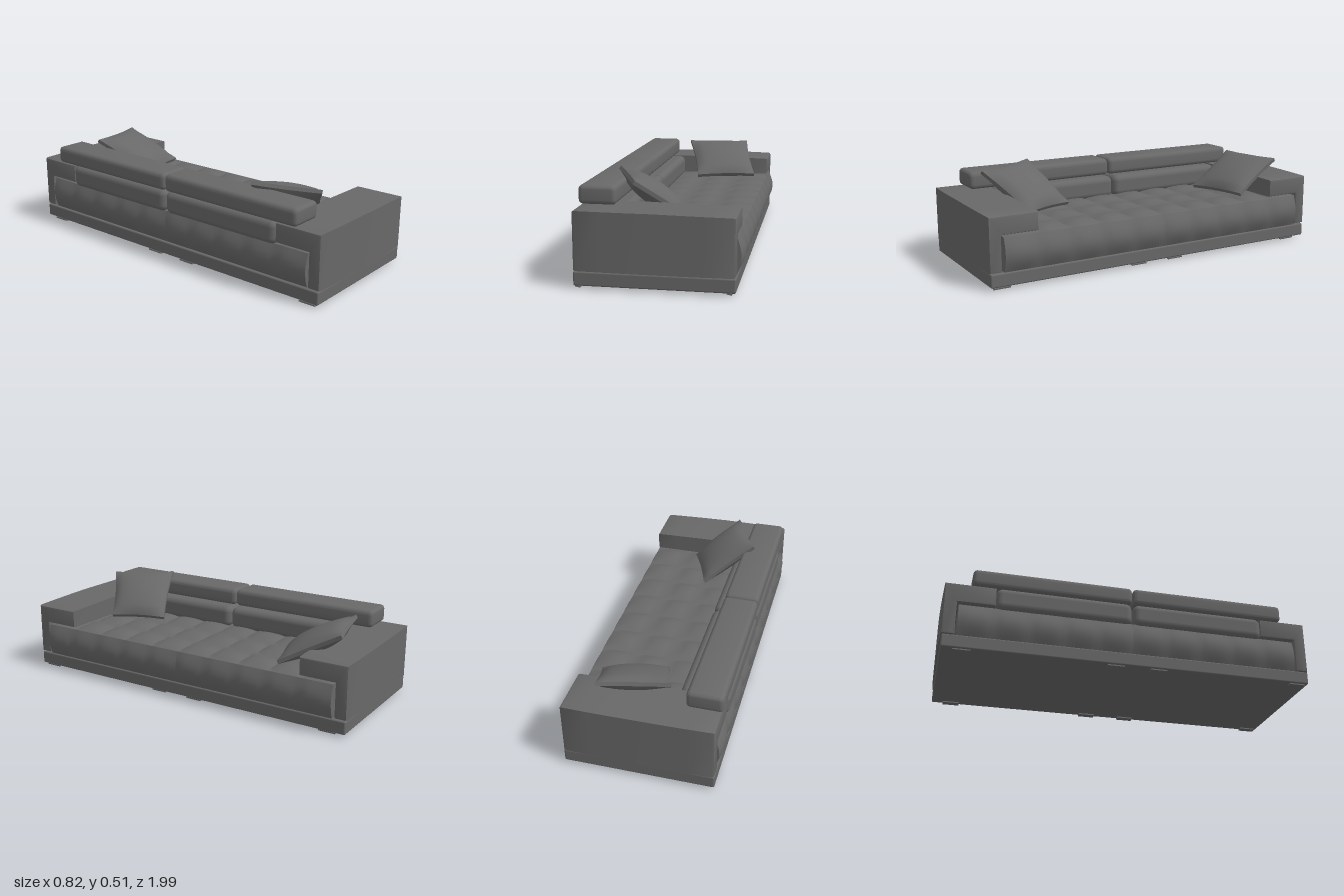
import * as THREE from 'three';
import { toCreasedNormals } from 'three/addons/utils/BufferGeometryUtils.js';
import { RoundedBoxGeometry } from 'three/addons/geometries/RoundedBoxGeometry.js';

export function createModel() {
  const sofa = new THREE.Group();
  sofa.name = 'sofa';
  const fabric = new THREE.MeshStandardMaterial({ color: 0x686868 });
  fabric.name = 'grey fabric';

  const add = (name, geometry) => {
    const mesh = new THREE.Mesh(geometry, fabric);
    mesh.name = name;
    sofa.add(mesh);
    return mesh;
  };

  // Rounded block given by its limits on each axis
  const block = (name, x0, x1, y0, y1, z0, z1, r) => {
    const mesh = add(name, new RoundedBoxGeometry(x1 - x0, y1 - y0, z1 - z0, 3, r));
    mesh.position.set((x0 + x1) / 2, (y0 + y1) / 2, (z0 + z1) / 2);
  };

  // Move every vertex of a geometry by a rule
  const reshape = (geometry, rule) => {
    const p = geometry.attributes.position;
    const v = new THREE.Vector3();
    for (let i = 0; i < p.count; i++) {
      rule(v.fromBufferAttribute(p, i));
      p.setXYZ(i, v.x, v.y, v.z);
    }
    return toCreasedNormals(geometry, 0.7);
  };

  // Plinth and its low feet
  block('base', -0.39, 0.38, 0.015, 0.085, -0.985, 0.985, 0.008);
  for (const x of [-0.373, 0.348]) {
    for (const z of [-0.88, -0.09, 0.14, 0.92]) {
      const foot = add('foot', new THREE.BoxGeometry(0.026, 0.007, 0.09));
      foot.position.set(x, 0.0065, z);
      foot.rotation.z = -0.2;
    }
  }

  // Tufted seat cushions, five columns of four tufts each
  const puff = t => Math.sqrt(Math.abs(Math.sin(Math.PI * t)));
  const seatLength = 0.912;
  for (const side of [-1, 1]) {
    const seat = new THREE.BoxGeometry(2, 1, 1, 16, 8, 30);
    add('seatCushion', reshape(seat, v => {
      const column = puff((v.z + 0.5) * 5);
      const row = puff((v.x + 1) * 2);
      const h = v.y + 0.5;
      const top = 0.262 + 0.02 * column * row;
      const belly = Math.sin(Math.PI * h) * (0.02 + 0.012 * column);
      v.x *= 0.376 + belly;
      v.y = 0.086 + h * (top - 0.086);
      v.z = side * seatLength / 2 + v.z * seatLength;
    }));
  }

  // Overhanging arms: an upside-down L drawn in z and y, run along x
  for (const side of [-1, 1]) {
    const b = 0.012;
    const outline = [[0.922, 0.088], [0.988, 0.088], [0.988, 0.376], [0.726, 0.376], [0.726, 0.272], [0.922, 0.272]];
    const inset = [[b, b], [-b, b], [-b, -b], [b, -b], [b, b], [b, b]];
    const shape = new THREE.Shape(outline.map(([z, y], i) =>
      new THREE.Vector2(-side * (z + inset[i][0]), y + inset[i][1])));
    const arm = new THREE.ExtrudeGeometry(shape, {
      depth: 0.77 - 2 * b, bevelEnabled: true, bevelSize: b, bevelThickness: b, bevelSegments: 2, steps: 6,
    });
    arm.rotateY(Math.PI / 2);
    arm.translate(-0.39 + b, 0, 0);
    add('arm', reshape(arm, v => {
      const bulge = 1 - (v.x / 0.39) ** 2;
      if (Math.abs(v.z) > 0.97) v.z += side * 0.008 * bulge;
      if (v.y > 0.3) v.y -= 0.007 * Math.max(0, v.x) / 0.38;
    }));
  }

  // Back cushions and the bolsters lying on them
  for (const side of [-1, 1]) {
    const span = (inner, outer) => side > 0 ? [inner, outer] : [-outer, -inner];
    block('backCushion', -0.4, -0.152, 0.255, 0.378, ...span(0.003, 0.728), 0.035);

    const bolster = new RoundedBoxGeometry(0.186, 0.095, 0.848, 4, 0.022);
    const [z0, z1] = span(0.003, 0.851);
    bolster.translate(-0.305, 0.4255, (z0 + z1) / 2);
    add('backBolster', reshape(bolster, v => {
      if (v.y > 0.45) v.y += 0.006 * (1 - ((v.x + 0.305) / 0.093) ** 2) - 0.004;
    }));
  }

  // Soft pillow stretched between four corners, swollen along its normal
  const pillow = (corners, swell) => {
    const [a, b, c, d] = corners.map(k => new THREE.Vector3(...k));
    const normal = b.clone().sub(a).cross(d.clone().sub(a)).normalize();
    const centre = a.clone().add(b).add(c).add(d).multiplyScalar(0.25);
    add('pillow', reshape(new THREE.BoxGeometry(1, 1, 1, 12, 12, 1), v => {
      const s = v.x + 0.5, t = v.y + 0.5;
      const dome = Math.pow(16 * s * (1 - s) * t * (1 - t), 0.6);
      const pinch = 0.05 * (4 * s * (1 - s) + 4 * t * (1 - t) - 2 * dome);
      const offset = Math.sign(v.z) * (0.01 + swell * dome);
      const low = a.clone().lerp(b, s);
      v.copy(low.lerp(d.clone().lerp(c, s), t));
      v.lerp(centre, pinch).addScaledVector(normal, offset);
    }));
  };
  pillow([[-0.03, 0.29, -0.48], [0.31, 0.29, -0.57], [0.23, 0.455, -0.88], [-0.13, 0.46, -0.8]], 0.045);
  pillow([[0.11, 0.29, 0.66], [-0.01, 0.29, 0.37], [-0.28, 0.5, 0.49], [-0.13, 0.485, 0.82]], 0.05);

  return sofa;
}
